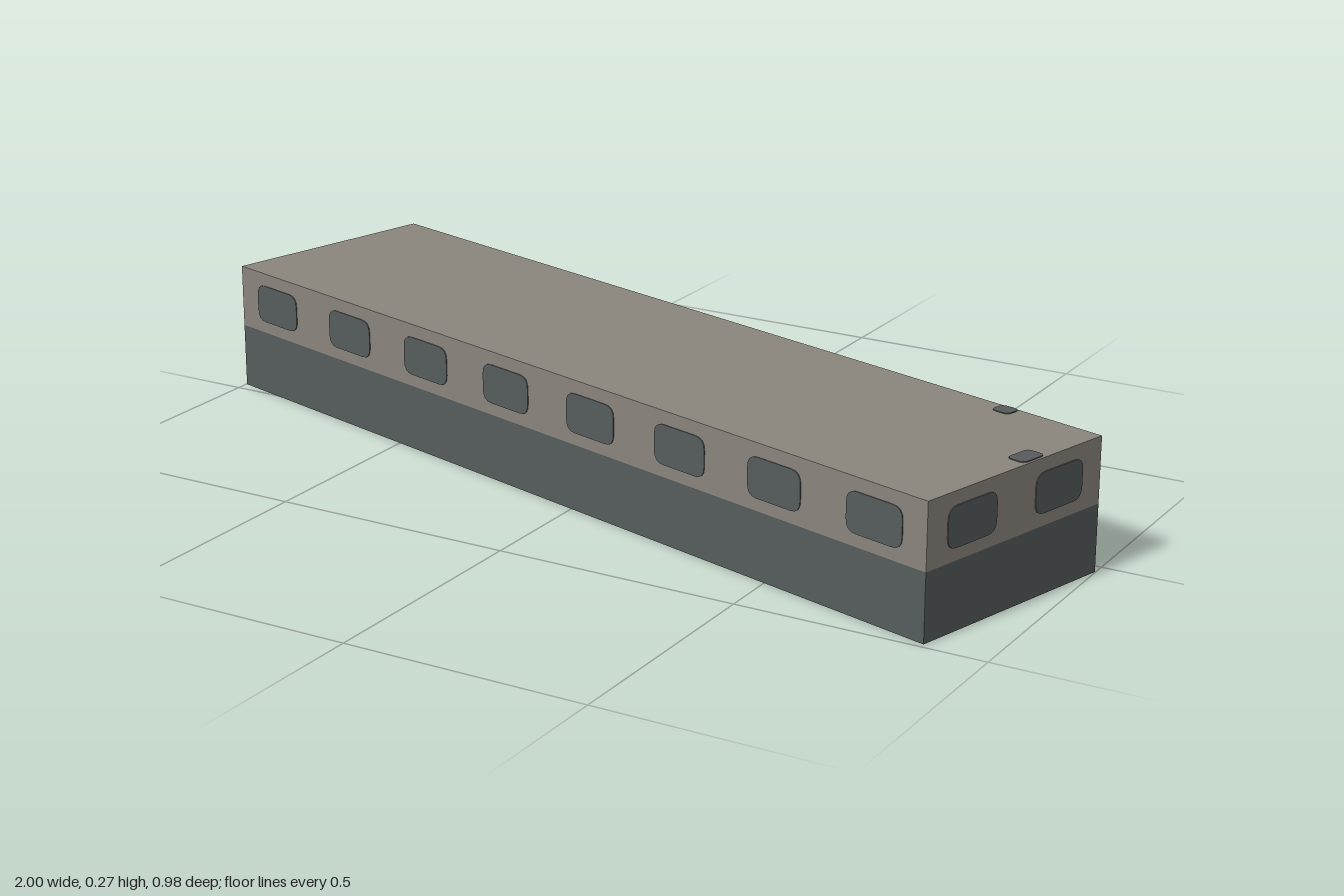
import * as THREE from 'three';

const LENGTH = 1.94, DEPTH = 0.478, BASE_H = 0.135, HEIGHT = 0.267;

const mat = (name, color) => {
  const m = new THREE.MeshStandardMaterial({ color, side: THREE.DoubleSide });
  m.name = name;
  return m;
};

// Rounded rectangle plate, centred on its own origin, facing +z
function roundedPlate(w, h, r, t) {
  const s = new THREE.Shape();
  const x = w / 2, y = h / 2;
  s.moveTo(-x + r, -y);
  s.lineTo(x - r, -y);
  s.quadraticCurveTo(x, -y, x, -y + r);
  s.lineTo(x, y - r);
  s.quadraticCurveTo(x, y, x - r, y);
  s.lineTo(-x + r, y);
  s.quadraticCurveTo(-x, y, -x, y - r);
  s.lineTo(-x, -y + r);
  s.quadraticCurveTo(-x, -y, -x + r, -y);
  const g = new THREE.ExtrudeGeometry(s, { depth: t, bevelEnabled: false, curveSegments: 4 });
  return g.translate(0, 0, -t / 2);
}

export function createModel() {
  const model = new THREE.Group();
  model.name = 'longBuilding';
  const wallMat = mat('wall stone', 0x8a847c);
  const darkMat = mat('dark slate', 0x565b5b);

  const add = (parent, name, geo, material, x, y, z) => {
    const m = new THREE.Mesh(geo, material);
    m.name = name;
    m.position.set(x, y, z);
    parent.add(m);
    return m;
  };

  // The building stands at an angle to the axes
  const body = new THREE.Group();
  body.name = 'building';
  body.rotation.y = -0.269;
  model.add(body);

  // Four thin sides: dark lower storey, light upper storey, row of windows
  const windowGeo = roundedPlate(0.132, 0.08, 0.024, 0.004);
  const sides = [
    ['front', LENGTH, DEPTH / 2, 0, 8],
    ['left', DEPTH, LENGTH / 2, Math.PI / 2, 2],
    ['back', LENGTH, DEPTH / 2, Math.PI, 8],
    ['right', DEPTH, LENGTH / 2, -Math.PI / 2, 2],
  ];
  for (const [name, width, offset, angle, count] of sides) {
    const side = new THREE.Group();
    side.name = name + 'Side';
    side.rotation.y = angle;
    body.add(side);
    const upperH = HEIGHT - BASE_H;
    add(side, 'lowerWall', new THREE.PlaneGeometry(width, BASE_H), darkMat, 0, BASE_H / 2, offset);
    add(side, 'upperWall', new THREE.PlaneGeometry(width, upperH), wallMat, 0, BASE_H + upperH / 2, offset);
    for (let i = 0; i < count; i++) {
      const x = ((i + 0.5) / count - 0.5) * width;
      add(side, 'window', windowGeo, darkMat, x, 0.2, offset);
    }
  }

  // Flat roof; the underside of the building stays open
  const roof = new THREE.PlaneGeometry(LENGTH, DEPTH).rotateX(-Math.PI / 2);
  add(body, 'roof', roof, wallMat, 0, HEIGHT, 0);

  // Small dark patches near the roof edge
  for (const [x, z, w, d] of [[0.759, -0.22, 0.04, 0.035], [0.945, -0.053, 0.04, 0.06]]) {
    const patch = roundedPlate(w, d, 0.012, 0.002).rotateX(-Math.PI / 2);
    add(body, 'roofPatch', patch, darkMat, x, HEIGHT + 0.001, z);
  }
  return model;
}
